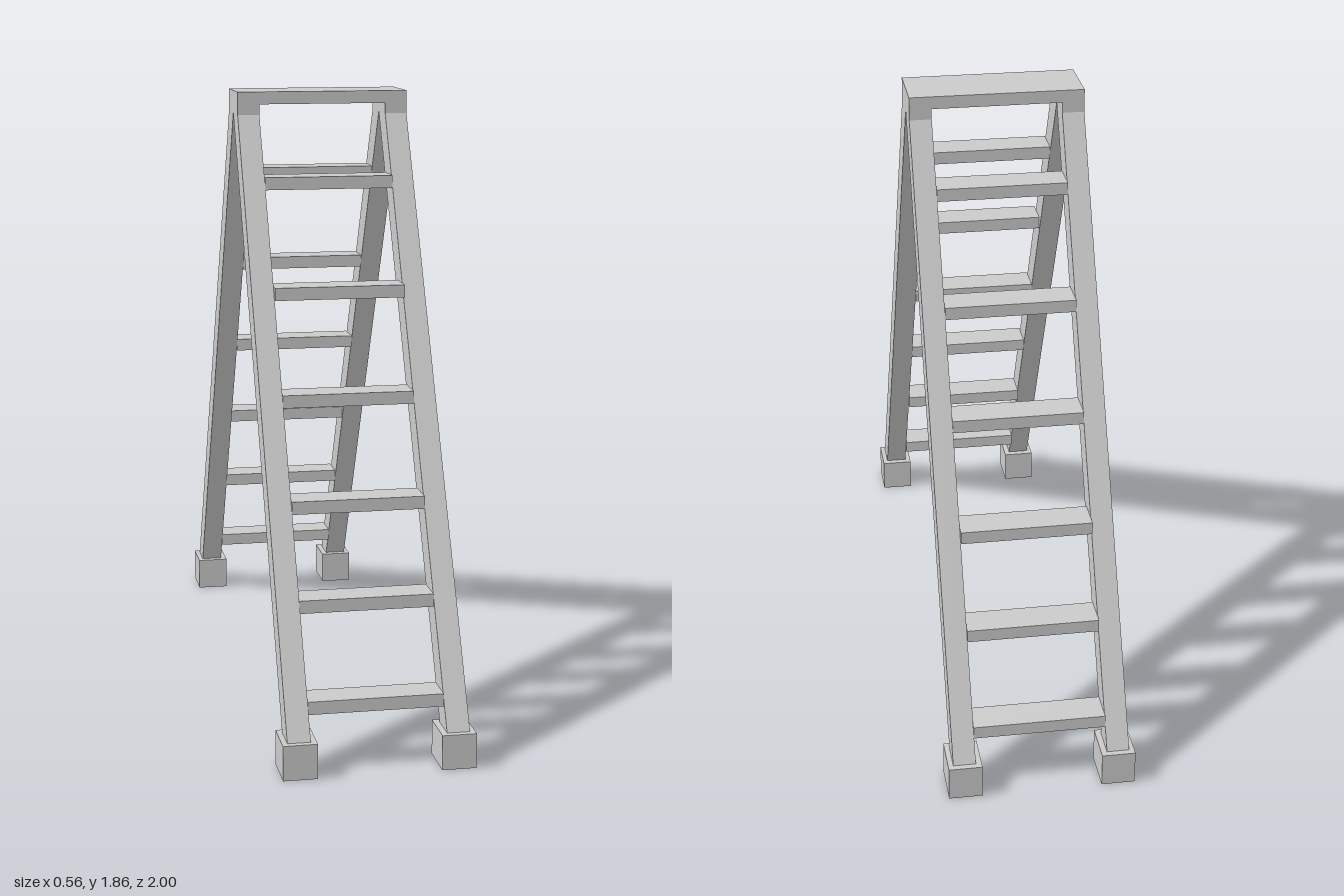
import * as THREE from 'three';

export function createModel() {
  const model = new THREE.Group();
  model.name = 'stepLadder';
  const material = new THREE.MeshStandardMaterial({ color: 0xcccccc, flatShading: true });

  const add = (name, geometry, x, y, z) => {
    const mesh = new THREE.Mesh(geometry, material);
    mesh.name = name;
    mesh.position.set(x, y, z);
    model.add(mesh);
  };

  // Side frame: two sloping rails meeting in a flat-topped block (shape x = depth)
  const half = [[0.095, 1.86], [0.095, 1.79], [0.983, 0.1], [0.893, 0.1]];
  const outline = [
    ...half,
    [0, 1.79],
    ...half.map(([z, y]) => [-z, y]).reverse(),
  ].map(([z, y]) => new THREE.Vector2(z, y));
  const railWidth = 0.067;
  const frame = new THREE.ExtrudeGeometry(new THREE.Shape(outline), { depth: railWidth, bevelEnabled: false });
  frame.translate(0, 0, -railWidth / 2);
  frame.rotateY(-Math.PI / 2);

  // Frames and feet on both sides
  const foot = new THREE.BoxGeometry(0.1, 0.103, 0.13);
  for (const [side, sx] of [['left', 1], ['right', -1]]) {
    add(side + 'Frame', frame, sx * 0.23, 0, 0);
    for (const [end, sz] of [['Front', 1], ['Back', -1]]) {
      add(side + end + 'Foot', foot, sx * 0.229, 0.0515, sz * 0.935);
    }
  }

  // Top plate between the frames
  add('topPlate', new THREE.BoxGeometry(0.394, 0.038, 0.19), 0, 1.841, 0);

  // Rungs: height, front depth, back depth
  const rung = new THREE.BoxGeometry(0.394, 0.038, 0.1);
  const rungs = [
    [0.185, 0.885, -0.893],
    [0.44, 0.75, -0.767],
    [0.7, 0.627, -0.64],
    [0.982, 0.473, -0.473],
    [1.28, 0.338, -0.32],
    [1.59, 0.155, -0.155],
  ];
  for (const [y, front, back] of rungs) {
    add('frontRung', rung, 0, y, front);
    add('backRung', rung, 0, y, back);
  }
  return model;
}
